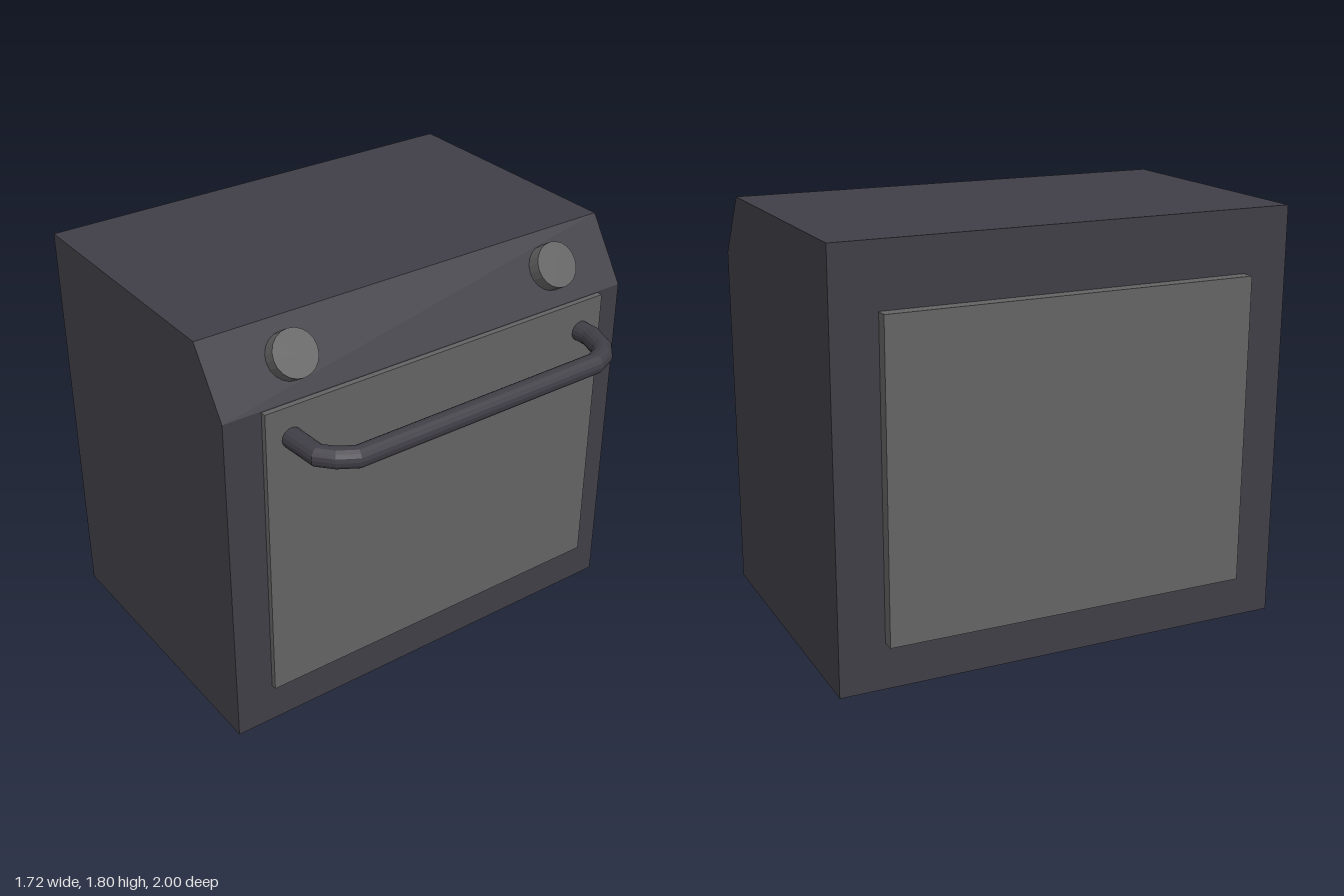
import * as THREE from 'three';

const charcoal = new THREE.MeshStandardMaterial({ color: 0x403e46 });
charcoal.name = 'charcoal';
const grey = new THREE.MeshStandardMaterial({ color: 0x636363 });
grey.name = 'grey';

// Gives every face its own normal for a low-poly look
function faceted(geometry) {
  const g = geometry.index ? geometry.toNonIndexed() : geometry;
  g.computeVertexNormals();
  return g;
}

// Curve through straight segments with mitred corners
class Polyline extends THREE.Curve {
  constructor(points) {
    super();
    this.points = points;
  }
  getPoint(t) {
    return this.points[Math.round(t * (this.points.length - 1))].clone();
  }
  getPointAt(u) {
    return this.getPoint(u);
  }
  getTangentAt(u) {
    const p = this.points, last = p.length - 1, i = Math.round(u * last);
    const dir = (a, b) => p[b].clone().sub(p[a]).normalize();
    if (i === 0) return dir(0, 1);
    if (i === last) return dir(last - 1, last);
    return dir(i - 1, i).add(dir(i, i + 1)).normalize();
  }
}

export function createModel() {
  const model = new THREE.Group();
  model.name = 'oven';

  function add(name, geometry, material) {
    const mesh = new THREE.Mesh(geometry, material);
    mesh.name = name;
    model.add(mesh);
    return mesh;
  }

  function addPanel(name, [x0, x1], [y0, y1], [z0, z1]) {
    const mesh = add(name, new THREE.BoxGeometry(x1 - x0, y1 - y0, z1 - z0), grey);
    mesh.position.set((x0 + x1) / 2, (y0 + y1) / 2, (z0 + z1) / 2);
  }

  // Cabinet with a sloped control edge
  const profile = new THREE.Shape([
    [-0.81, 0], [0.53, 0], [0.53, 1.535], [0.35, 1.805], [-0.81, 1.805],
  ].map(([x, y]) => new THREE.Vector2(x, y)));
  const body = new THREE.ExtrudeGeometry(profile, { depth: 2, bevelEnabled: false });
  body.translate(0, 0, -1);
  add('body', body, charcoal);

  // Door and rear cover
  addPanel('door', [0.52, 0.555], [0.185, 1.53], [-0.88, 0.83]);
  addPanel('backPanel', [-0.865, -0.80], [0.2, 1.535], [-0.805, 0.80]);

  // Knobs standing on the slope
  for (const [name, z] of [['leftKnob', -0.665], ['rightKnob', 0.645]]) {
    const knob = add(name, faceted(new THREE.CylinderGeometry(0.099, 0.099, 0.08, 20)), grey);
    knob.rotation.z = -Math.atan2(0.27, 0.18);
    knob.position.set(0.458, 1.685, z);
  }

  // Bent bar handle
  const path = new Polyline([
    [0.552, -0.767], [0.615, -0.77], [0.72, -0.738], [0.772, -0.692], [0.803, -0.62],
    [0.81, 0.585], [0.768, 0.655], [0.715, 0.703], [0.552, 0.713],
  ].map(([x, z]) => new THREE.Vector3(x, 1.39, z)));
  add('handle', faceted(new THREE.TubeGeometry(path, path.points.length - 1, 0.045, 16)), charcoal);

  return model;
}
